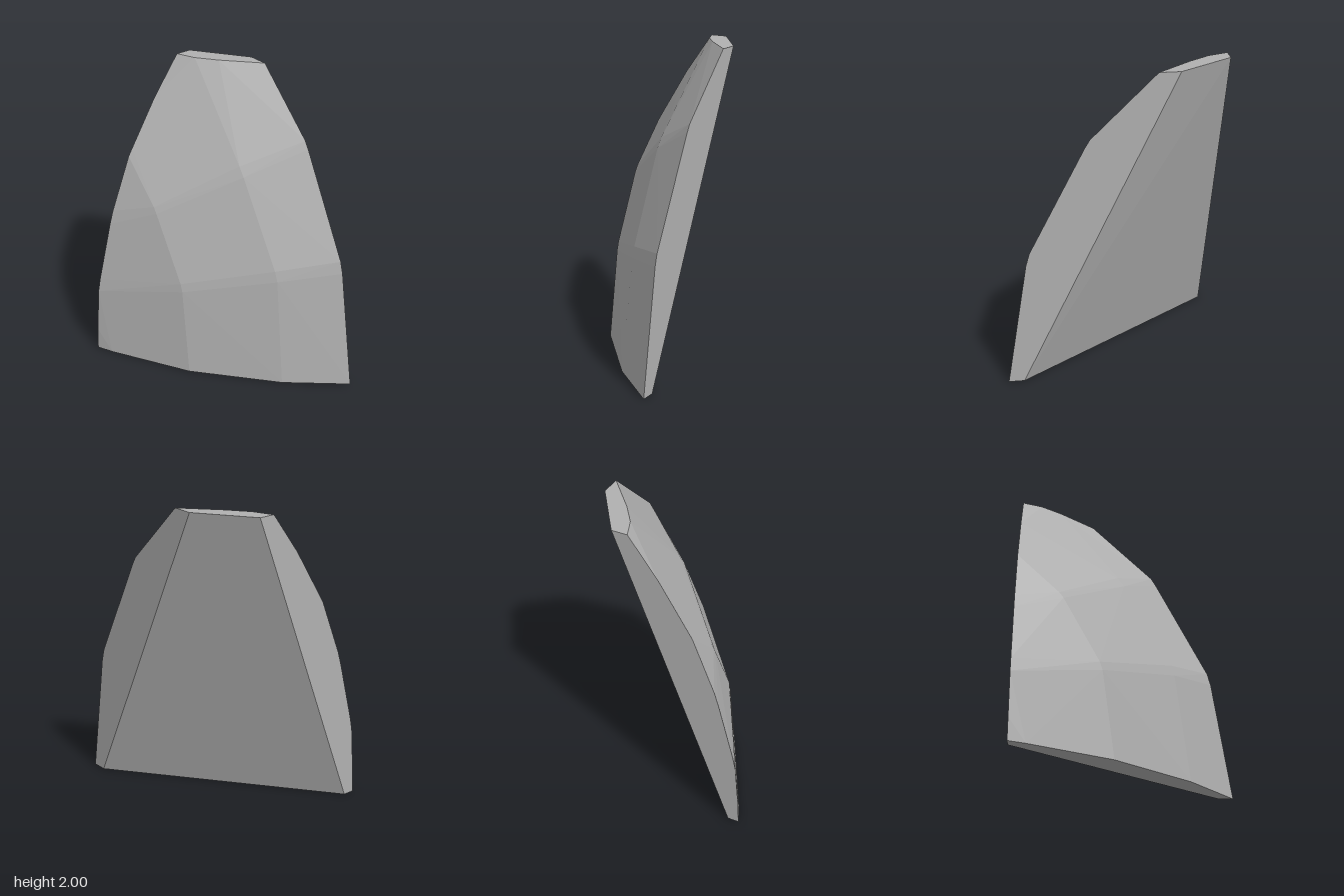
import * as THREE from 'three';
import { ConvexGeometry } from 'three/addons/geometries/ConvexGeometry.js';

export function createModel() {
  const group = new THREE.Group();
  const stone = new THREE.MeshStandardMaterial({ color: 0xb0b0b0 });
  const X = -0.707, Z = -0.535;
  const points = [];
  const add = (x, y, z) => points.push(new THREE.Vector3(x, y, z));

  // Flat cut on the back: outer profile (x, y), then inner corners
  [[0.707, 0], [0.582, 0.8], [0.56, 0.88], [0.215, 1.55], [0.185, 1.6], [-0.225, 2],
    [0.608, 0], [-0.36, 2]].forEach(([x, y]) => add(x, y, Z));

  // Flat cut on the side: outer profile (z, y), then inner corners
  [[0.535, 0], [0.53, 0.15], [0.508, 0.45], [0.49, 0.54], [0.39, 0.93], [0.363, 1.02],
    [0.22, 1.38], [0.19, 1.43], [0, 1.74], [-0.19, 2],
    [0.461, 0], [-0.295, 2]].forEach(([z, y]) => add(X, y, z));

  // Curved outer edge of the base and of the top (x, z)
  [[-0.6, 0.49], [-0.08, 0.215], [0.41, -0.19], [0.46, -0.25]].forEach(([x, z]) => add(x, 0, z));
  [[-0.58, -0.24], [-0.45, -0.335]].forEach(([x, z]) => add(x, 2, z));

  // Ridge lines of the faceted outer face; each inner corner is chamfered along its ridge
  const ridges = [
    [[-0.08, 0, 0.215], [-0.16, 0.62, 0.207], [-0.42, 1.1, 0.222], [X, 1.4, 0.205]],
    [[0.435, 0, -0.22], [0.31, 0.77, -0.21], [-0.03, 1.4, -0.19], [-0.58, 2, -0.24]],
  ];
  for (const ridge of ridges) {
    const r = ridge.map((p) => new THREE.Vector3(...p));
    for (const i of [1, 2]) {
      for (const j of [i - 1, i + 1]) points.push(r[i].clone().lerp(r[j], 0.05));
    }
  }

  const chunk = new THREE.Mesh(new ConvexGeometry(points), stone);
  chunk.name = 'rockFragment';
  group.add(chunk);
  return group;
}
